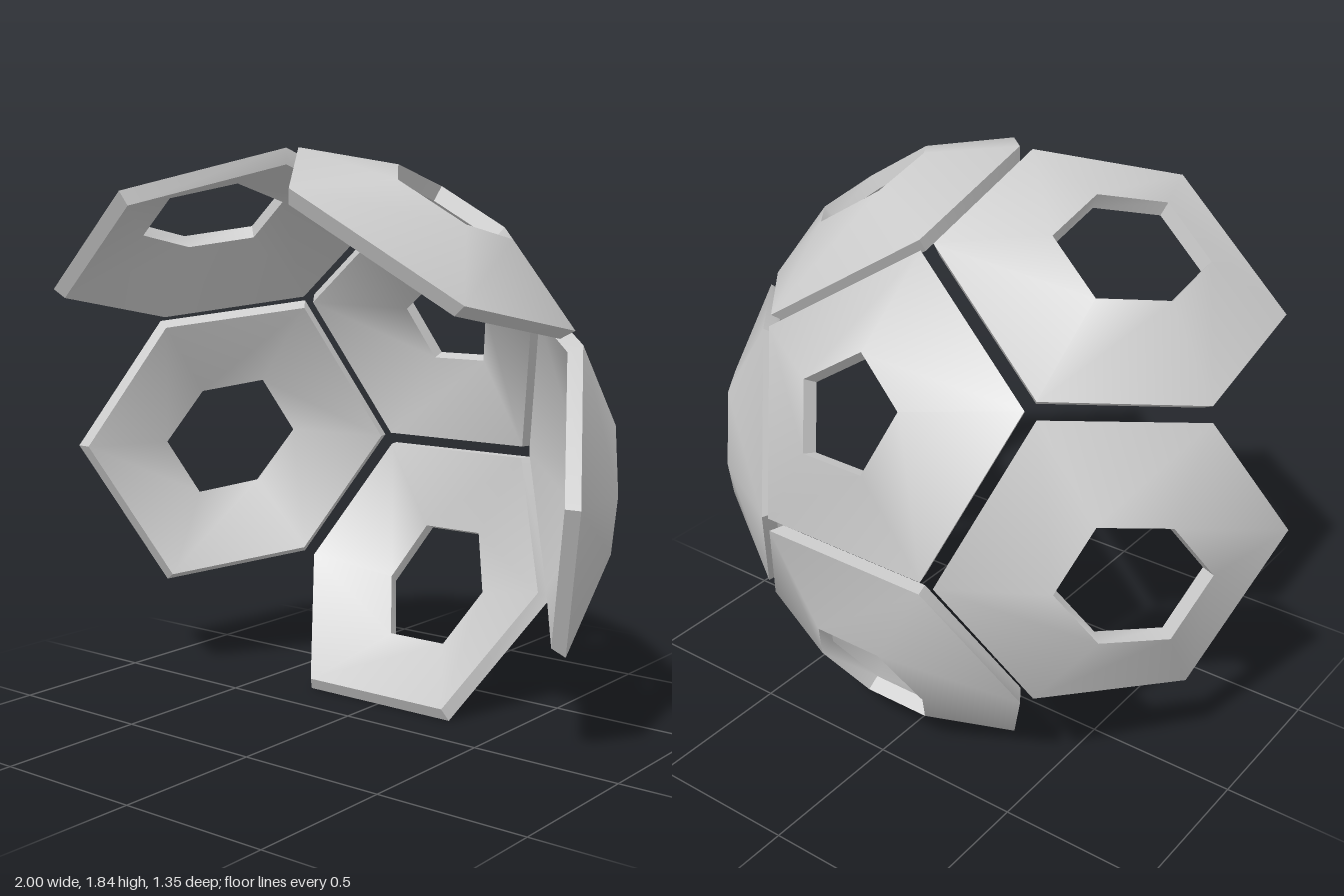
import * as THREE from 'three';
import { toCreasedNormals } from 'three/addons/utils/BufferGeometryUtils.js';

const SHELL = 0.95; // inner surface as a fraction of the outer one
const material = new THREE.MeshStandardMaterial({ color: 0xcccccc });

// Lift a 2D outline onto a sphere of the given radius.
const lift = (outline, radius) =>
  outline.map(([x, y]) => new THREE.Vector3(x, y, Math.sqrt(radius * radius - x * x - y * y)));

// Domed plate with a hole: loops run outer rim, outer hole, inner hole, inner rim.
function plateGeometry(rim, hole, rimRadius, holeRadius) {
  const outerRim = lift(rim, rimRadius);
  const outerHole = lift(hole, holeRadius);
  const shrink = (loop) => loop.map((p) => p.clone().multiplyScalar(SHELL));
  const loops = [outerRim, outerHole, shrink(outerHole), shrink(outerRim)];
  const n = rim.length;
  const index = [];
  for (let l = 0; l < 4; l++) {
    for (let i = 0; i < n; i++) {
      const j = (i + 1) % n;
      const m = (l + 1) % 4;
      const a = l * n + i, b = l * n + j, c = m * n + j, d = m * n + i;
      index.push(a, b, c, a, c, d);
    }
  }
  const geometry = new THREE.BufferGeometry().setFromPoints(loops.flat());
  geometry.setIndex(index);
  return toCreasedNormals(geometry, 0.75);
}

// Counter-clockwise regular pentagon with a vertex at the top.
const pentagon = (r) => Array.from({ length: 5 }, (_, i) => {
  const a = Math.PI / 2 + (i * 2 * Math.PI) / 5;
  return [r * Math.cos(a), r * Math.sin(a)];
});

// Counter-clockwise hexagon with level top and bottom edges.
const hexagon = (edge, middle, height) => [
  [middle, 0], [edge, height], [-edge, height],
  [-middle, 0], [-edge, -height], [edge, -height],
];

export function createModel() {
  const model = new THREE.Group();
  model.name = 'panelledDome';

  // Dome centre, with local z along the pentagon's outward axis
  const dome = new THREE.Group();
  dome.name = 'domePanels';
  const tilt = THREE.MathUtils.degToRad(26.1);
  const outward = new THREE.Vector3(0, Math.sin(tilt), -Math.cos(tilt));
  const up = new THREE.Vector3(0, Math.cos(tilt), Math.sin(tilt));
  dome.quaternion.setFromRotationMatrix(
    new THREE.Matrix4().makeBasis(new THREE.Vector3(-1, 0, 0), up, outward));
  dome.position.set(0, 0.84, 0.3);
  model.add(dome);

  // Pentagonal panel in the middle
  const centre = new THREE.Mesh(plateGeometry(pentagon(0.5), pentagon(0.183), 1, 1.035), material);
  centre.name = 'pentagonPanel';
  dome.add(centre);

  // Five hexagonal panels around it
  const hexGeometry = plateGeometry(
    hexagon(0.29, 0.5, 0.475), hexagon(0.117, 0.205, 0.217), 1, 1.007);
  for (let k = 0; k < 5; k++) {
    const spoke = new THREE.Group();
    spoke.name = `hexagonSpoke${k + 1}`;
    spoke.rotation.z = (k * 2 * Math.PI) / 5;
    const panel = new THREE.Mesh(hexGeometry, material);
    panel.name = `hexagonPanel${k + 1}`;
    panel.rotation.x = THREE.MathUtils.degToRad(57.3);
    spoke.add(panel);
    dome.add(spoke);
  }
  return model;
}
